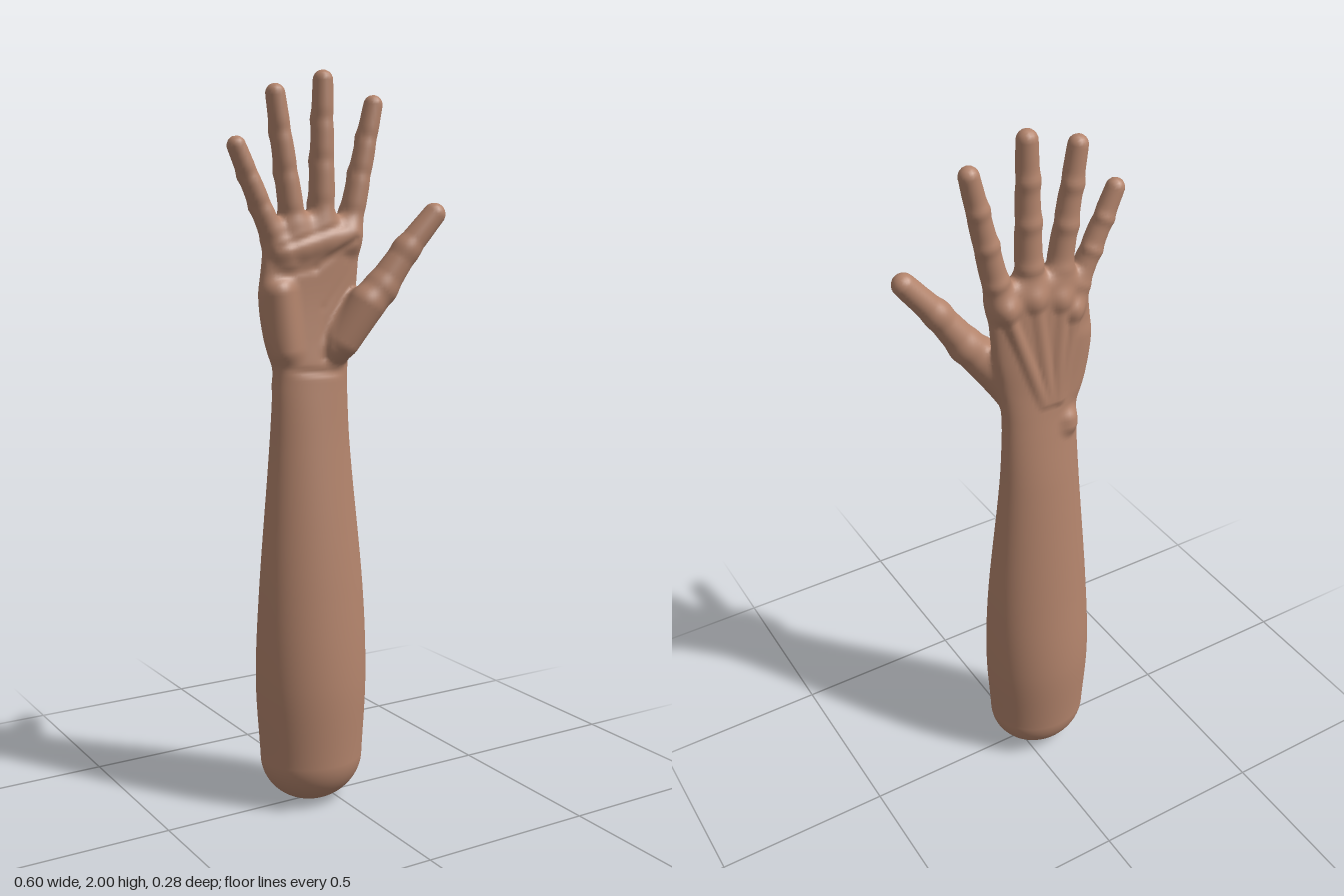
import * as THREE from 'three';
import { mergeVertices } from 'three/addons/utils/BufferGeometryUtils.js';

// ---- forearm and palm: cross-sections [y, xMin, xMax, zBack, zFront, squareness]
const SECTIONS = [
  [0.13, -0.203, 0.09, -0.132, 0.127, 2],
  [0.35, -0.215, 0.103, -0.14, 0.132, 2],
  [0.6, -0.207, 0.097, -0.12, 0.113, 2],
  [1.0, -0.177, 0.062, -0.08, 0.07, 2],
  [1.15, -0.17, 0.054, -0.06, 0.056, 2.1],
  [1.22, -0.171, 0.054, -0.051, 0.05, 2.2],
  [1.3, -0.196, 0.062, -0.044, 0.042, 2.4],
  [1.4, -0.209, 0.08, -0.043, 0.036, 2.5],
  [1.5, -0.2, 0.09, -0.043, 0.036, 2.5],
  [1.56, -0.19, 0.092, -0.043, 0.038, 2.5],
];
const BOTTOM = 0.13, TOP = 1.56;

// ---- fingers: [name, knuckle xy, tip xy, knuckle radius, tip radius]
const FINGERS = [
  ['littleFinger', -0.14, 1.5, -0.275, 1.797, 0.034, 0.025],
  ['ringFinger', -0.1, 1.54, -0.161, 1.932, 0.037, 0.026],
  ['middleFinger', -0.024, 1.56, -0.018, 1.973, 0.039, 0.027],
  ['indexFinger', 0.055, 1.55, 0.139, 1.917, 0.037, 0.026],
];
const JOINTS = [0.22, 0.5, 0.76];

// ---- rounded limbs: [x, y, z, radius] at each end
const THUMB = [
  [[0.0, 1.27, 0.025, 0.042], [0.12, 1.43, 0.07, 0.045]],
  [[0.12, 1.43, 0.07, 0.045], [0.19, 1.532, 0.088, 0.036]],
  [[0.19, 1.532, 0.088, 0.036], [0.269, 1.627, 0.106, 0.031]],
];
const MOUNDS = [
  [[0.02, 1.29, 0.045, 0.042], [0.075, 1.39, 0.068, 0.046]],     // ball of the thumb
  [[-0.14, 1.27, 0.012, 0.036], [-0.16, 1.42, 0.012, 0.04]],     // heel of the hand
  [[-0.14, 1.53, 0.016, 0.03], [0.05, 1.57, 0.016, 0.032]],      // pads below the fingers
  [[-0.125, 1.17, -0.036, 0.026], [-0.125, 1.185, -0.036, 0.025]], // wrist bone
];
// Grooves across the palm, and tendons on the back
const CREASES = [
  [[-0.19, 1.46, 0.04, 0], [-0.06, 1.485, 0.04, 0]],
  [[-0.06, 1.485, 0.04, 0], [0.06, 1.56, 0.045, 0]],
  [[-0.17, 1.54, 0.045, 0], [0.02, 1.6, 0.045, 0]],
  [[-0.04, 1.25, 0.05, 0], [-0.035, 1.38, 0.05, 0]],
  [[-0.035, 1.38, 0.05, 0], [0.06, 1.49, 0.045, 0]],
  [[-0.15, 1.215, 0.05, 0], [0.04, 1.205, 0.05, 0]],
];
const TENDONS = FINGERS.map(f => [
  [-0.06 + f[1] * 0.25, 1.26, -0.036, 0.012], [f[1], f[2] - 0.01, -0.034, 0.013]]);

const clamp = THREE.MathUtils.clamp;
const smoothMin = (a, b, k) => {
  const h = Math.max(k - Math.abs(a - b), 0) / k;
  return Math.min(a, b) - h * h * k / 4;
};

// Distance to a tapered limb
function limb(x, y, z, [a, b]) {
  const dx = b[0] - a[0], dy = b[1] - a[1], dz = b[2] - a[2];
  const t = clamp(((x - a[0]) * dx + (y - a[1]) * dy + (z - a[2]) * dz) /
    (dx * dx + dy * dy + dz * dz), 0, 1);
  return Math.hypot(x - a[0] - dx * t, y - a[1] - dy * t, z - a[2] - dz * t)
    - a[3] - (b[3] - a[3]) * t;
}

// Smoothly interpolated cross-section at a height
function sectionAt(y) {
  const S = SECTIONS, n = S.length;
  y = clamp(y, BOTTOM, TOP);
  let i = 0;
  while (i < n - 2 && y > S[i + 1][0]) i++;
  const h = S[i + 1][0] - S[i][0], t = (y - S[i][0]) / h, u = 1 - t;
  const slope = (j, c) => {
    const p = S[Math.max(j - 1, 0)], q = S[Math.min(j + 1, n - 1)];
    return (q[c] - p[c]) / (q[0] - p[0]);
  };
  return [1, 2, 3, 4, 5].map(c => S[i][c] * u * u * (1 + 2 * t) + S[i + 1][c] * t * t * (3 - 2 * t)
    + h * t * u * (slope(i, c) * u - slope(i + 1, c) * t));
}
const STEPS = 1000;
const TABLE = Array.from({ length: STEPS + 2 }, (_, i) => sectionAt(BOTTOM + (TOP - BOTTOM) * i / STEPS));

function forearmAndPalm(x, y, z) {
  const s = clamp((y - BOTTOM) / (TOP - BOTTOM), 0, 1) * STEPS, i = Math.floor(s), f = s - i;
  const at = c => TABLE[i][c] * (1 - f) + TABLE[i + 1][c] * f;
  const x0 = at(0), x1 = at(1), z0 = at(2), z1 = at(3), n = at(4);
  const a = (x1 - x0) / 2, b = (z1 - z0) / 2, c = y < BOTTOM ? 0.13 : 0.07;
  const X = Math.abs(x - (x0 + x1) / 2) / a, Z = Math.abs(z - (z0 + z1) / 2) / b;
  const Y = Math.max(BOTTOM - y, y - TOP, 0) / c;
  const k = (X ** n + Y ** n + Z ** n) ** (1 / n);
  if (k < 1e-4) return -Math.min(a, b);
  const g = Math.hypot(X ** (n - 1) / a, Y ** (n - 1) / c, Z ** (n - 1) / b) * k ** (1 - n);
  return (k - 1) / g;
}

// Finger with folds on the palm side and knuckles on the back
function finger(x, y, z, [, ax, ay, bx, by, r0, r1]) {
  const dx = bx - ax, dy = by - ay;
  const t = clamp(((x - ax) * dx + (y - ay) * dy) / (dx * dx + dy * dy), 0, 1);
  let r = r0 + (r1 - r0) * t;
  for (const j of JOINTS) {
    r += Math.exp(-(((t - j) / 0.045) ** 2)) * (0.001 - 0.003 * clamp(z / 0.015, -1, 1));
  }
  return Math.hypot(x - ax - dx * t, y - ay - dy * t, z) - r;
}

// Whole skin: negative inside, positive outside
function skin(x, y, z) {
  let d = forearmAndPalm(x, y, z);
  if (y < 1.05) return d;
  for (const m of MOUNDS) d = smoothMin(d, limb(x, y, z, m), 0.025);
  for (const t of TENDONS) d = smoothMin(d, limb(x, y, z, t), 0.016);
  let fingers = 1, thumb = 1;
  for (const f of FINGERS) {
    fingers = smoothMin(fingers, finger(x, y, z, f), 0.012);
    d = smoothMin(d, Math.hypot(x - f[1], y - f[2] - 0.01, z + 0.026) - 0.028, 0.02); // knuckle
  }
  for (const t of THUMB) thumb = smoothMin(thumb, limb(x, y, z, t), 0.015);
  d = smoothMin(smoothMin(d, fingers, 0.02), thumb, 0.025);
  if (z > 0 && y < 1.66) {
    for (const c of CREASES) d += 0.004 * Math.exp(-((limb(x, y, z, c) / 0.011) ** 2));
  }
  return d;
}

function gradient(x, y, z) {
  const e = 0.0015;
  return [skin(x + e, y, z) - skin(x - e, y, z), skin(x, y + e, z) - skin(x, y - e, z),
    skin(x, y, z + e) - skin(x, y, z - e)].map(v => v / (2 * e));
}

// Wrap a mesh around the skin: one vertex per crossed cell, one quad per crossed edge
function wrapSkin() {
  const h = 0.009, origin = [-0.333, -0.031, -0.171], N = [75, 229, 39];
  const stride = [1, N[0], N[0] * N[1]];
  const values = new Float32Array(N[0] * N[1] * N[2]);
  const cells = new Map(), positions = [], normals = [], quads = [];
  const each = fn => {
    for (let k = 0, id = 0; k < N[2]; k++) for (let j = 0; j < N[1]; j++) {
      for (let i = 0; i < N[0]; i++, id++) fn(id, i, j, k);
    }
  };
  each((id, i, j, k) => {
    values[id] = skin(origin[0] + i * h, origin[1] + j * h, origin[2] + k * h);
  });
  const vertex = id => {
    if (cells.has(id)) return cells.get(id);
    const ijk = [id % N[0], Math.floor(id / N[0]) % N[1], Math.floor(id / stride[2])];
    const p = ijk.map((v, c) => origin[c] + (v + 0.5) * h);
    for (let n = 0; n < 4; n++) {
      const d = skin(...p), g = gradient(...p);
      const move = clamp(d / Math.max(g[0] ** 2 + g[1] ** 2 + g[2] ** 2, 0.2), -h, h);
      for (let c = 0; c < 3; c++) p[c] -= move * g[c];
    }
    positions.push(...p);
    normals.push(...new THREE.Vector3(...gradient(...p)).normalize().toArray());
    cells.set(id, cells.size);
    return cells.size - 1;
  };
  each((id, i, j, k) => {
    if (!i || !j || !k || i > N[0] - 2 || j > N[1] - 2 || k > N[2] - 2) return;
    for (let a = 0; a < 3; a++) {
      const inside = values[id] < 0;
      if (inside === values[id + stride[a]] < 0) continue;
      const b = stride[(a + 1) % 3], c = stride[(a + 2) % 3];
      const q = [id, id - b, id - b - c, id - c].map(vertex);
      quads.push(inside ? q : q.reverse());
    }
  });
  return { positions, normals, quads };
}

// Which part a point on the skin belongs to
function partAt(x, y, z) {
  if (y < 1.2) return 'forearm';
  if (x > 0.11 && z > 0.035 && y < 1.72) return 'thumb';
  if (y < 1.62) return 'palm';
  return FINGERS.reduce((m, f) => finger(x, y, z, f) < finger(x, y, z, m) ? f : m)[0];
}

export function createModel() {
  const group = new THREE.Group();
  group.name = 'raisedArm';
  const skinTone = new THREE.MeshStandardMaterial({ color: 0xb3846c });
  skinTone.name = 'skin';

  const { positions, normals, quads } = wrapSkin();
  const parts = {};
  for (const [a, b, c, d] of quads) {
    const name = partAt(...positions.slice(a * 3, a * 3 + 3));
    (parts[name] ??= []).push(a, b, c, a, c, d);
  }
  for (const [name, index] of Object.entries(parts)) {
    const whole = new THREE.BufferGeometry();
    whole.setAttribute('position', new THREE.Float32BufferAttribute(positions, 3));
    whole.setAttribute('normal', new THREE.Float32BufferAttribute(normals, 3));
    whole.setIndex(index);
    const mesh = new THREE.Mesh(mergeVertices(whole.toNonIndexed(), 1e-5), skinTone);
    mesh.name = name;
    group.add(mesh);
  }
  return group;
}
